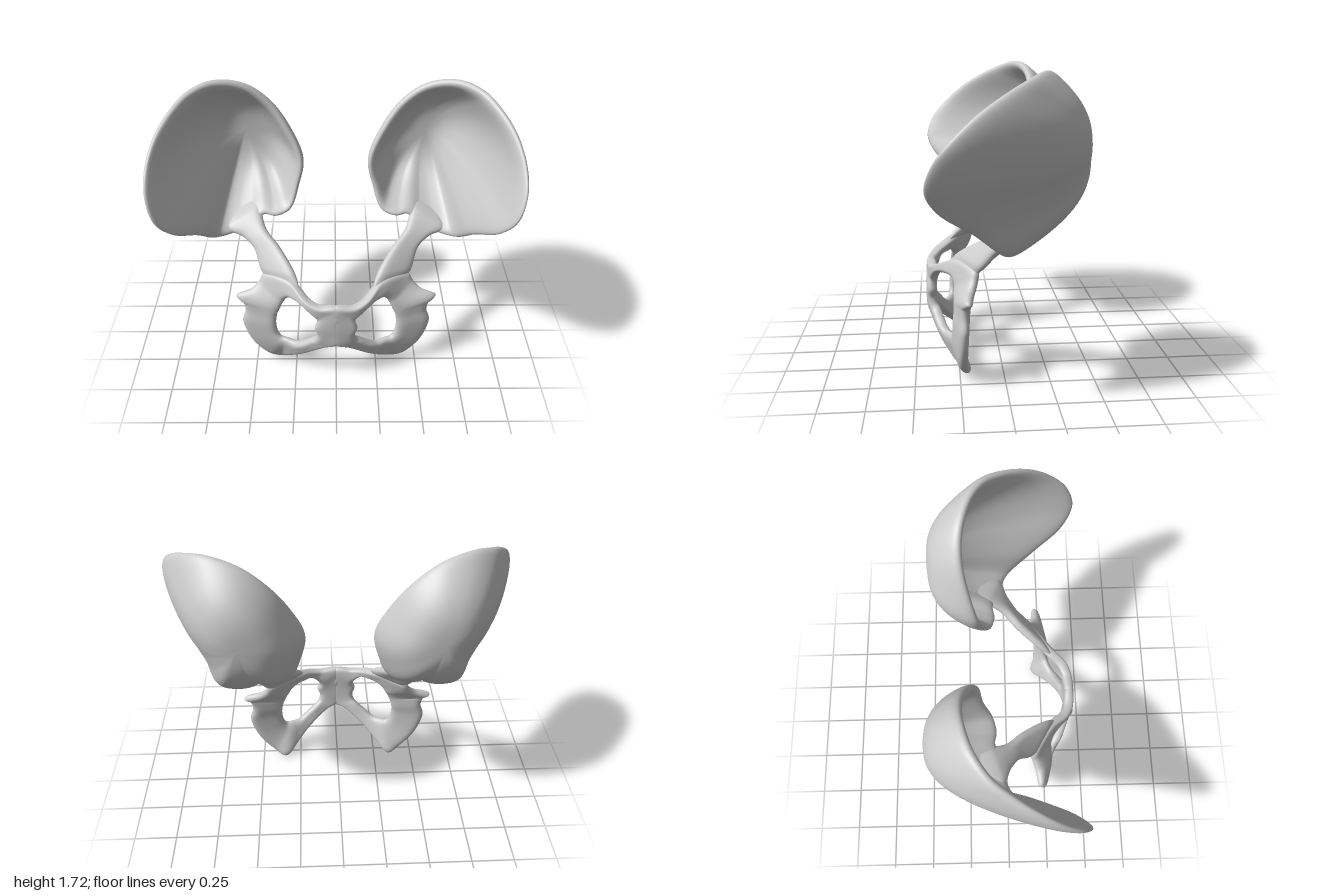
import * as THREE from 'three';
import { mergeVertices } from 'three/addons/utils/BufferGeometryUtils.js';

const material = new THREE.MeshStandardMaterial({ color: 0xcccccc, side: THREE.DoubleSide });

const curve = (closed, pts) =>
  new THREE.CatmullRomCurve3(pts.map((p) => new THREE.Vector3(...p)), closed, 'centripetal');

// Gives thickness to a sheet point(u, v): u runs round or along it, v across it.
// stations are the v values across, half(v, u) is half the thickness there.
function shell(point, half, stations, side, closed, segments) {
  const section = [
    ...stations.map((v) => [v, 1]),
    ...stations.slice().reverse().map((v) => [v, -1]),
  ];
  const rows = section.length, e = 0.004;
  const spans = closed ? segments : segments - 1;
  const near = (u) => (closed ? (u + 1) % 1 : THREE.MathUtils.clamp(u, 0, 1));
  const pos = [], index = [];
  for (let i = 0; i < segments; i++) {
    const u = i / spans;
    for (const [v, face] of section) {
      const w = THREE.MathUtils.clamp(v, 0.03, 1 - e);
      const across = point(u, w + e).sub(point(u, w - e));
      const around = point(near(u + e), w).sub(point(near(u - e), w));
      const normal = across.cross(around).normalize();
      const p = point(u, v).addScaledVector(normal, face * half(v, u));
      pos.push(p.x * side, p.y, p.z);
    }
  }
  for (let i = 0; i < spans; i++) {
    for (let j = 0; j < rows; j++) {
      const k = (j + 1) % rows, n = (i + 1) % segments;
      const a = i * rows + j, b = i * rows + k, c = n * rows + j, d = n * rows + k;
      if (side > 0) index.push(a, b, c, b, d, c);
      else index.push(a, c, b, b, c, d);
    }
  }
  const raw = new THREE.BufferGeometry();
  raw.setAttribute('position', new THREE.Float32BufferAttribute(pos, 3));
  raw.setIndex(index);
  const geometry = mergeVertices(raw, 1e-5);
  geometry.computeVertexNormals();
  return geometry;
}

// Rim of the bowl-shaped wing, counterclockwise from its lower edge
const wingRim = curve(true, [
  [0.60, 0.81, -0.02], [0.71, 0.805, 0.03], [0.79, 0.94, 0.19], [0.88, 1.07, 0.36],
  [0.95, 1.19, 0.42], [0.985, 1.32, 0.38], [0.985, 1.43, 0.29], [0.95, 1.54, 0.17],
  [0.88, 1.63, 0.03], [0.80, 1.685, -0.08], [0.68, 1.71, -0.16], [0.52, 1.67, -0.21],
  [0.38, 1.56, -0.22], [0.27, 1.40, -0.19], [0.20, 1.22, -0.15], [0.23, 1.06, -0.13],
  [0.28, 0.93, -0.08], [0.36, 0.90, -0.06], [0.43, 0.905, -0.07], [0.50, 0.85, -0.04],
]);
const wingMiddle = new THREE.Vector3(0.54, 1.3, -0.41);

// Bowl rounded about its middle, deepest toward the outer front edge;
// the rest of the way to the rim is made up close to the edge
function wingPoint(u, v) {
  const rim = wingRim.getPoint(u);
  const angle = Math.atan2(rim.y - wingMiddle.y, rim.x - wingMiddle.x) + 0.26;
  const depth = 0.41 + 0.27 * Math.cos(angle) + 0.1 * Math.cos(2 * angle);
  const p = wingMiddle.clone().lerp(rim, v);
  p.z = wingMiddle.z + depth * v ** (2.9 - 0.5 * Math.cos(angle))
    + (rim.z - wingMiddle.z - depth) * v ** 6;
  return p;
}

// Lower ring: outer outline, counterclockwise from the centre joint
const ringOuter = curve(true, [
  [-0.02, 0.30, 0.41], [0.06, 0.26, 0.39], [0.20, 0.14, 0.32], [0.29, 0.05, 0.25],
  [0.35, 0.00, 0.20], [0.42, 0.04, 0.22], [0.52, 0.16, 0.225], [0.57, 0.32, 0.22],
  [0.55, 0.40, 0.215], [0.56, 0.46, 0.21], [0.60, 0.50, 0.20], [0.51, 0.535, 0.18],
  [0.46, 0.58, 0.16], [0.43, 0.63, 0.15], [0.34, 0.655, 0.20], [0.25, 0.65, 0.26],
  [0.165, 0.60, 0.36], [0.10, 0.58, 0.395],
  [-0.02, 0.58, 0.405], [-0.03, 0.46, 0.41], [-0.03, 0.38, 0.41],
]);
// Edge of the opening, one point for each outline point
const ringInner = curve(true, [
  [0.12, 0.33, 0.39], [0.15, 0.30, 0.37], [0.21, 0.25, 0.35], [0.25, 0.225, 0.325],
  [0.30, 0.225, 0.30], [0.335, 0.23, 0.285], [0.355, 0.26, 0.275], [0.365, 0.33, 0.27],
  [0.36, 0.38, 0.265], [0.35, 0.42, 0.265], [0.34, 0.44, 0.265], [0.325, 0.48, 0.265],
  [0.315, 0.50, 0.265], [0.30, 0.53, 0.27], [0.27, 0.555, 0.285], [0.23, 0.56, 0.32],
  [0.18, 0.55, 0.36], [0.135, 0.51, 0.38],
  [0.11, 0.47, 0.39], [0.125, 0.42, 0.40], [0.11, 0.37, 0.40],
]);
const ringPoint = (u, v) => ringInner.getPoint(u).lerp(ringOuter.getPoint(u), v);

// Neck from the ring up into the wing: its inner and outer edges
const neckInner = curve(false, [
  [0.21, 0.60, 0.32], [0.235, 0.68, 0.245], [0.33, 0.78, 0.10],
  [0.415, 0.845, 0.0], wingPoint(0.91, 0.96), wingPoint(0.91, 0.84),
].map((p) => [...p]));
const neckOuter = curve(false, [
  [0.40, 0.58, 0.185], [0.45, 0.65, 0.125], [0.49, 0.745, 0.05],
  [0.56, 0.79, 0.0], wingPoint(0.025, 0.96), wingPoint(0.025, 0.84),
].map((p) => [...p]));
const neckPoint = (u, v) => neckInner.getPoint(u).lerp(neckOuter.getPoint(u), v);

// Half thicknesses, rounded off at the free edges; the neck thins where it is buried
const wingHalf = (v) => (0.02 + 0.012 * v ** 3) * Math.sqrt(Math.max(0, 1 - v ** 24));
const bandHalf = (v) => 0.029 * Math.sqrt(Math.max(0, 1 - Math.abs(2 * v - 1) ** 5));
const neckHalf = (v, u) => bandHalf(v) * Math.min(1, 0.2 + 4 * Math.min(u, 1 - u));

const steps = (n, rule) => Array.from({ length: n + 1 }, (_, i) => rule(i / n));
const wingStations = steps(28, (t) => Math.sin((t * Math.PI) / 2));
const bandStations = steps(18, (t) => (1 - Math.cos(t * Math.PI)) / 2);

export function createModel() {
  const model = new THREE.Group();
  model.name = 'pelvis';
  const add = (name, geometry) => {
    const mesh = new THREE.Mesh(geometry, material);
    mesh.name = name;
    model.add(mesh);
    return mesh;
  };

  for (const [name, side] of [['left', 1], ['right', -1]]) {
    add(`${name}Wing`, shell(wingPoint, wingHalf, wingStations, side, true, 160));
    add(`${name}Neck`, shell(neckPoint, neckHalf, bandStations, side, false, 50));
    add(`${name}LowerRing`, shell(ringPoint, bandHalf, bandStations, side, true, 160));
  }

  // Oval pad where the two halves meet
  const pad = add('centreJoint', new THREE.SphereGeometry(1, 32, 20));
  pad.scale.set(0.045, 0.075, 0.03);
  pad.position.set(0, 0.49, 0.405);

  return model;
}
